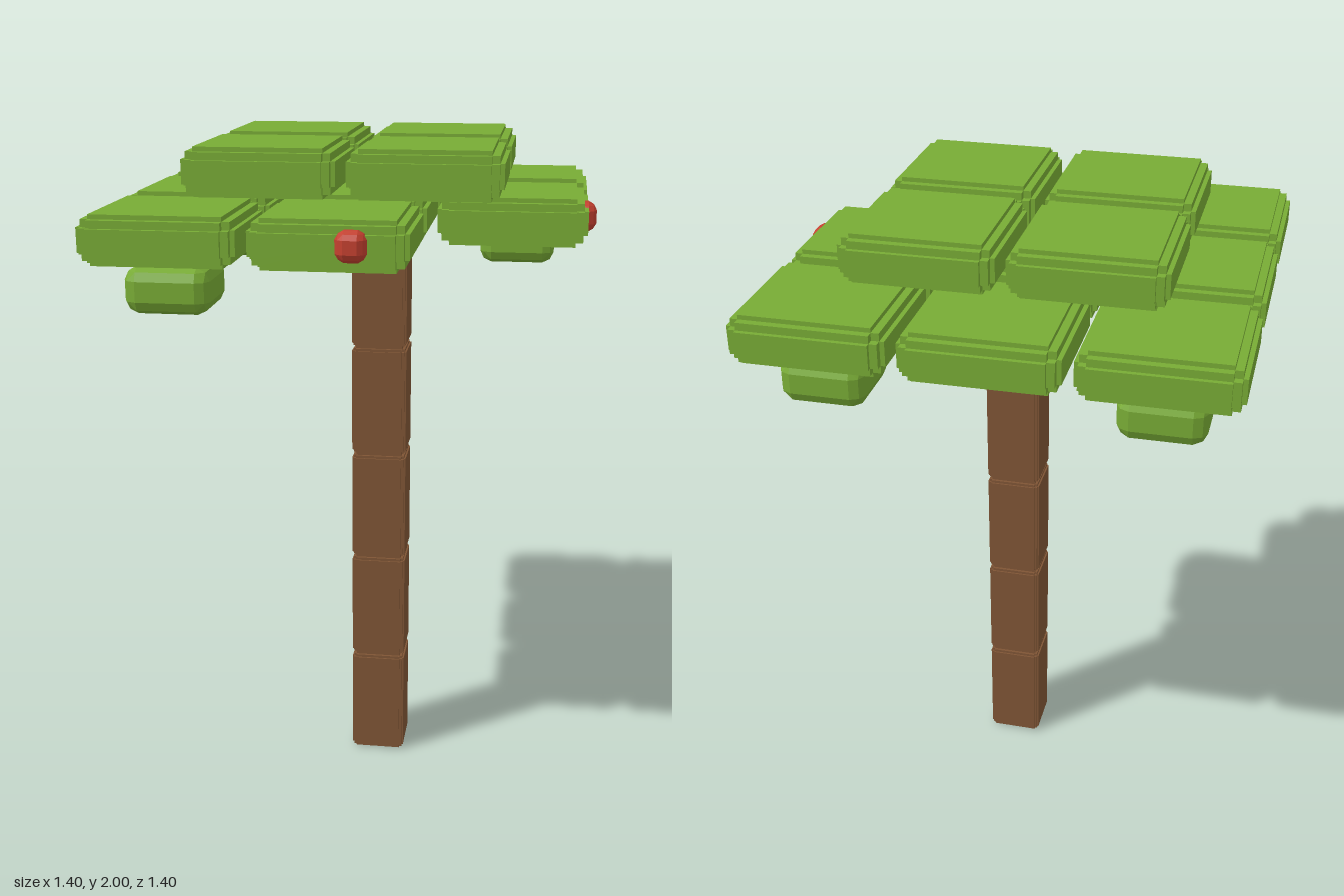
import * as THREE from 'three';
import { mergeGeometries } from 'three/addons/utils/BufferGeometryUtils.js';
import { ConvexGeometry } from 'three/addons/geometries/ConvexGeometry.js';

// Inset triples (x, y, z) describing a two-step bevel: a = small step, b = full bevel
const insets = (a, b) => [
  [0, b, b], [b, 0, b], [b, b, 0],
  [a, a, b], [a, b, a], [b, a, a],
];

// Brick whose edges fall away in two square steps
function steppedBrick(w, h, d, a, b) {
  return mergeGeometries(insets(a, b).map(([i, j, k]) =>
    new THREE.BoxGeometry(w - 2 * i, h - 2 * j, d - 2 * k)));
}

// Brick with faceted, chamfered edges
function chamferedBrick(w, h, d, a, b) {
  const points = [];
  for (const [i, j, k] of insets(a, b))
    for (const sx of [-1, 1])
      for (const sy of [-1, 1])
        for (const sz of [-1, 1])
          points.push(new THREE.Vector3(sx * (w / 2 - i), sy * (h / 2 - j), sz * (d / 2 - k)));
  return new ConvexGeometry(points);
}

export function createModel() {
  const tree = new THREE.Group();
  tree.name = 'blockTree';

  const bark = new THREE.MeshStandardMaterial({ name: 'bark brown', color: 0x7f5535 });
  const leaf = new THREE.MeshStandardMaterial({ name: 'leaf green', color: 0x78ab35 });
  const fruit = new THREE.MeshStandardMaterial({ name: 'fruit red', color: 0xc4402f });

  function add(name, geometry, material, x, y, z) {
    const mesh = new THREE.Mesh(geometry, material);
    mesh.name = name;
    mesh.position.set(x, y, z);
    tree.add(mesh);
  }

  // Trunk: five stacked blocks
  const blockHeight = 0.344;
  const trunkBlock = steppedBrick(0.168, blockHeight, 0.168, 0.005, 0.013);
  for (let i = 0; i < 5; i++)
    add('trunkBlock', trunkBlock, bark, 0.06, (i + 0.5) * blockHeight, 0.06);

  // Main canopy: three by three pads without the front left corner
  const pad = steppedBrick(0.438, 0.14, 0.438, 0.013, 0.035);
  const pitch = 0.469;
  for (const i of [-1, 0, 1])
    for (const k of [-1, 0, 1])
      if (!(i === 1 && k === 1))
        add('canopyPad', pad, leaf, -0.014 + i * pitch, 1.772, -0.014 + k * pitch);

  // Crown: two by two pads
  for (const x of [-0.249, 0.219])
    for (const z of [-0.249, 0.219])
      add('crownPad', pad, leaf, x, 1.93, z);

  // Small tufts under the three outer corners
  const tuft = chamferedBrick(0.243, 0.132, 0.243, 0.012, 0.037);
  for (const [x, z] of [[-0.482, -0.482], [0.454, -0.482], [-0.482, 0.454]])
    add('hangingTuft', tuft, leaf, x, 1.619, z);

  // Fruits set into the front and left edges of the canopy
  const berry = chamferedBrick(0.086, 0.086, 0.086, 0.009, 0.024);
  add('frontFruit', berry, fruit, 0.053, 1.777, 0.655);
  add('leftFruit', berry, fruit, 0.655, 1.777, 0.053);

  return tree;
}
